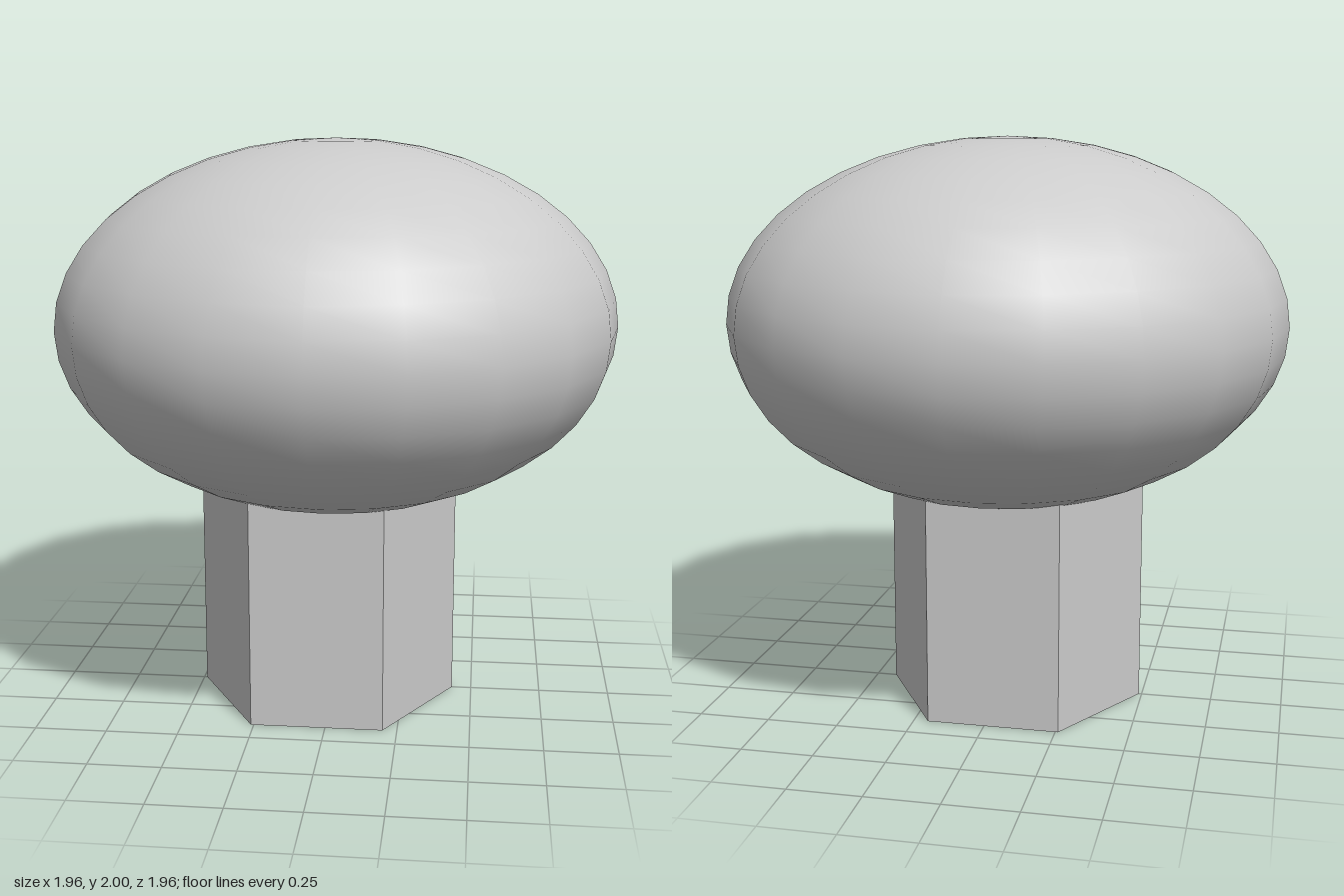
import * as THREE from 'three';

export function createModel() {
  const group = new THREE.Group();

  // Smooth, squashed crown
  const crown = new THREE.Mesh(
    new THREE.SphereGeometry(1, 20, 20),
    new THREE.MeshStandardMaterial({ color: 0xcccccc })
  );
  crown.name = 'crown';
  crown.scale.set(0.98, 0.64, 0.98);
  crown.position.y = 1.36;
  group.add(crown);

  // Hexagonal trunk, slightly off centre, running up into the crown
  const height = 0.95;
  const trunk = new THREE.Mesh(
    new THREE.CylinderGeometry(0.46, 0.46, height, 6, 1, false, Math.PI / 2),
    new THREE.MeshStandardMaterial({ color: 0xcccccc, flatShading: true })
  );
  trunk.name = 'trunk';
  trunk.position.set(-0.03, height / 2, 0);
  group.add(trunk);

  return group;
}
